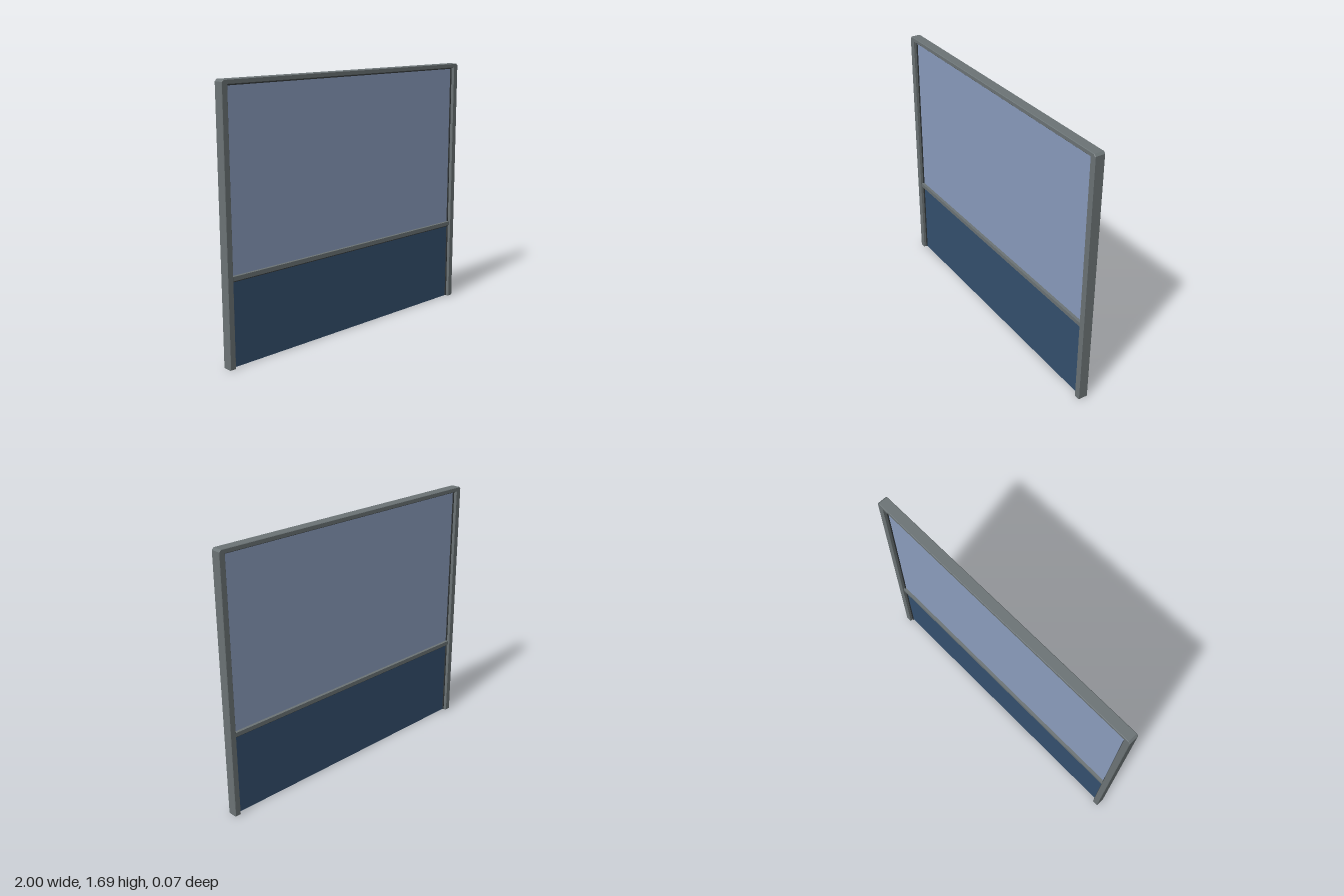
import * as THREE from 'three';

const material = (name, color) => {
  const m = new THREE.MeshStandardMaterial({ color });
  m.name = name;
  return m;
};

export function createModel() {
  const group = new THREE.Group();
  const metal = material('grey metal', 0x6c7476);
  const seal = material('dark seal', 0x34393b);
  const glass = material('pale blue glass', 0x8b9dbe);
  const panel = material('navy panel', 0x34506f);

  const add = (name, geometry, mat, x = 0, y = 0, z = 0) => {
    const mesh = new THREE.Mesh(geometry, mat);
    mesh.name = name;
    mesh.position.set(x, y, z);
    group.add(mesh);
  };
  const bar = (name, x0, x1, y0, y1, depth, mat) =>
    add(name, new THREE.BoxGeometry(x1 - x0, y1 - y0, depth), mat, (x0 + x1) / 2, (y0 + y1) / 2);

  const W = 1, H = 1.69, inner = 0.96, railY = 1.662, cut = 0.014, depth = 0.066, bevel = 0.003;

  // Two posts and the top rail as one bevelled arch with clipped corners
  const b = bevel;
  const outline = [
    [-W + b, b], [-inner - b, b], [-inner - b, railY + b], [inner + b, railY + b],
    [inner + b, b], [W - b, b], [W - b, H - cut], [W - cut, H - b],
    [-W + cut, H - b], [-W + b, H - cut],
  ];
  const arch = new THREE.ExtrudeGeometry(
    new THREE.Shape(outline.map(([x, y]) => new THREE.Vector2(x, y))),
    { depth: depth - 2 * b, bevelEnabled: true, bevelSize: b, bevelThickness: b, bevelSegments: 1 });
  arch.translate(0, 0, -depth / 2 + b);
  add('outerFrame', arch, metal);

  // Middle rail between the glass and the lower panel
  bar('middleRail', -inner, inner, 0.535, 0.562, 0.05, metal);

  // Thin seals around both infills
  for (const s of [-1, 1]) {
    const x0 = s < 0 ? -inner : inner - 0.007;
    bar('sideSeal', x0, x0 + 0.007, 0, railY, 0.026, seal);
  }
  bar('topSeal', -inner, inner, railY - 0.008, railY, 0.026, seal);
  bar('railSeal', -inner, inner, 0.526, 0.535, 0.03, seal);

  // Infill sheets
  bar('glassPane', -inner + 0.007, inner - 0.007, 0.562, railY - 0.008, 0.012, glass);
  bar('lowerPanel', -inner + 0.007, inner - 0.007, 0, 0.526, 0.012, panel);

  return group;
}
